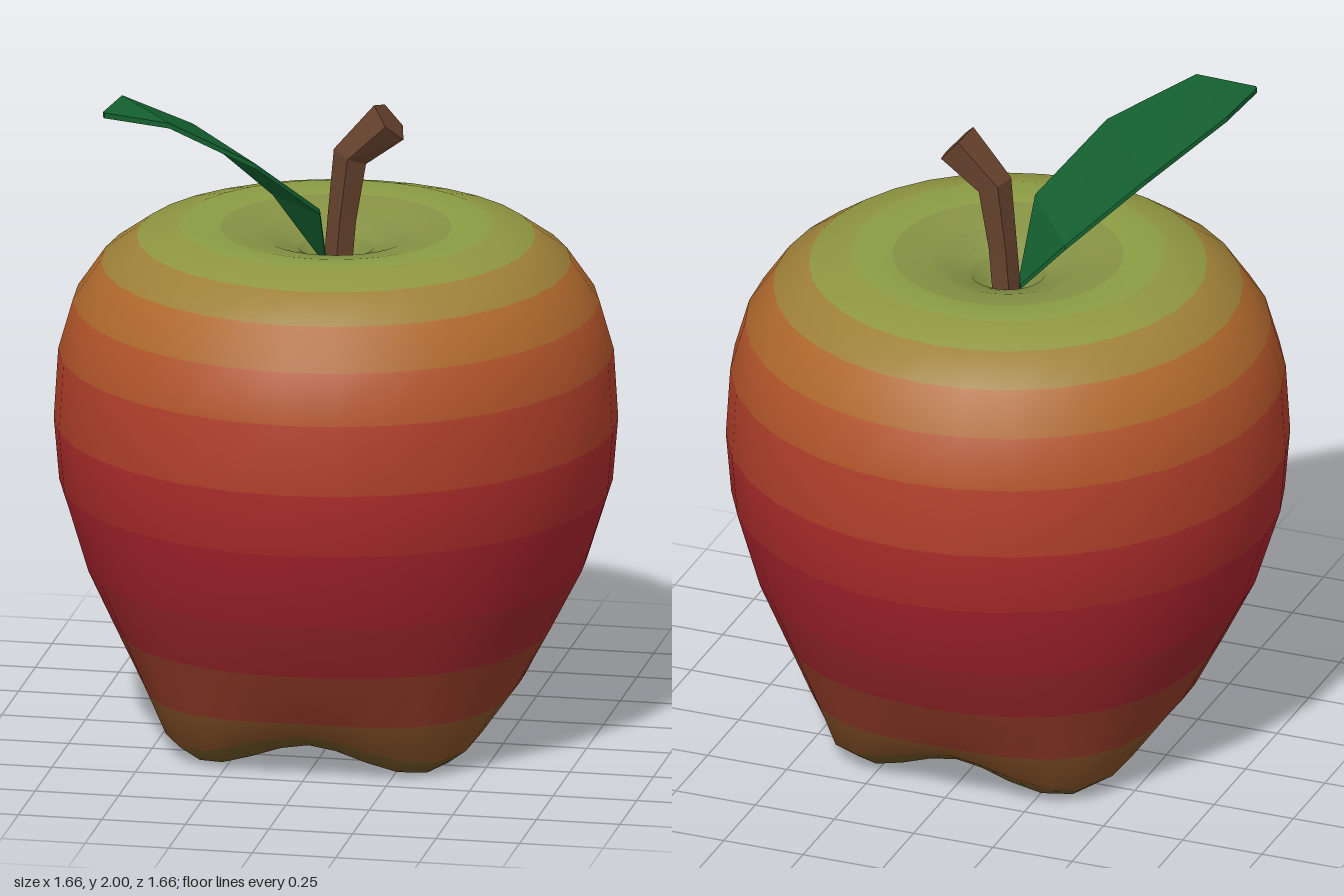
import * as THREE from 'three';

const SIDES = 32;

// Apple profile from the bottom centre to the top centre:
// radius, height, notch inset, notch lift, colour of the band above
const PROFILE = [
  [0, 0.17, 0, 0, 0x6f7a30],
  [0.2, 0.12, 0.02, 0.02, 0x66702c],
  [0.36, 0.03, 0.05, 0.07, 0x65602a],
  [0.48, 0, 0.07, 0.085, 0x6e5426],
  [0.55, 0.05, 0.07, 0.08, 0x845026],
  [0.6, 0.18, 0.05, 0.01, 0x923a28],
  [0.672, 0.36, 0.03, 0, 0x9c262a],
  [0.745, 0.54, 0.01, 0, 0xa5222c],
  [0.812, 0.78, 0, 0, 0xaa2c2a],
  [0.828, 0.97, 0, 0, 0xb03f2a],
  [0.815, 1.18, 0, 0, 0xb2542a],
  [0.772, 1.33, 0, 0, 0xae682c],
  [0.69, 1.45, 0, 0, 0x9e8038],
  [0.585, 1.525, 0, 0, 0x8f9640],
  [0.46, 1.56, 0, 0, 0x8c9c44],
  [0.34, 1.553, 0, 0, 0x869244],
  [0.22, 1.53, 0, 0, 0x849044],
  [0.11, 1.49, 0, 0, 0x7d8a40],
  [0.05, 1.41, 0, 0, 0x74803c],
  [0, 1.39, 0, 0, 0],
];

function material(color, flatShading = false) {
  return new THREE.MeshStandardMaterial({ color, flatShading });
}

// Smooth body with four lobes underneath, coloured in bands
function makeBody() {
  const body = new THREE.Group();
  body.name = 'appleBody';
  const points = [];
  for (const [r, y, inset, lift] of PROFILE) {
    for (let i = 0; i < SIDES; i++) {
      const a = (i / SIDES) * Math.PI * 2;
      const notch = (1 + Math.cos(4 * a)) / 2;
      const radius = r - inset * notch;
      points.push(radius * Math.sin(a), y + lift * notch, radius * Math.cos(a));
    }
  }
  const bands = [];
  for (let j = 0; j < PROFILE.length - 1; j++) {
    const band = [];
    for (let i = 0; i < SIDES; i++) {
      const k = (i + 1) % SIDES;
      const a = j * SIDES + i, b = j * SIDES + k;
      const c = b + SIDES, d = a + SIDES;
      band.push(a, b, c, a, c, d);
    }
    bands.push(band);
  }
  const whole = new THREE.BufferGeometry();
  whole.setAttribute('position', new THREE.Float32BufferAttribute(points, 3));
  whole.setIndex(bands.flat());
  whole.computeVertexNormals();

  // Bands share positions and normals, so the shading runs on across them
  bands.forEach((band, j) => {
    const geometry = new THREE.BufferGeometry();
    geometry.setAttribute('position', whole.attributes.position);
    geometry.setAttribute('normal', whole.attributes.normal);
    geometry.setIndex(band);
    const mesh = new THREE.Mesh(geometry, material(PROFILE[j][4]));
    mesh.name = `skinBand${j + 1}`;
    body.add(mesh);
  });
  return body;
}

// Five-sided stem, bent and widening towards the cut end
function makeStem() {
  // centre x, centre y, radius, tilt towards +x
  const rings = [
    [0.005, 1.4, 0.045, 0],
    [0.02, 1.58, 0.045, 0.1],
    [0.045, 1.775, 0.055, 0.4],
    [0.162, 1.887, 0.07, 0.85],
  ];
  const geometry = new THREE.CylinderGeometry(1, 1, 3, 5, 3);
  const p = geometry.attributes.position;
  for (let i = 0; i < p.count; i++) {
    const [cx, cy, r, tilt] = rings[Math.round(p.getY(i) + 1.5)];
    const u = p.getX(i) * r;
    p.setXYZ(i, cx + u * Math.cos(tilt), cy - u * Math.sin(tilt), p.getZ(i) * r);
  }
  geometry.computeVertexNormals();
  const stem = new THREE.Mesh(geometry, material(0x64412c, true));
  stem.name = 'stem';
  return stem;
}

// Thin leaf rising from the stem and levelling off at the tip
function makeLeaf() {
  // right edge and left edge, row by row from base to tip
  const rows = [
    [[-0.04, 1.46, 0.0], [-0.025, 1.46, 0.02]],
    [[-0.2, 1.64, -0.05], [-0.01, 1.66, 0.19]],
    [[-0.42, 1.855, 0.04], [-0.16, 1.845, 0.385]],
    [[-0.59, 1.993, 0.25], [-0.4, 1.988, 0.49]],
    [[-0.607, 1.999, 0.45], [-0.6, 1.999, 0.46]],
  ];
  const thickness = 0.016;
  const points = [];
  const index = [];
  const quad = (a, b, c, d) => index.push(a, b, c, a, c, d);
  rows.forEach(([r, l], j) => {
    // four corners: top right, top left, bottom left, bottom right
    points.push(...r, ...l, l[0], l[1] - thickness, l[2], r[0], r[1] - thickness, r[2]);
    if (j === 0) return;
    const n = j * 4, o = n - 4;
    for (let k = 0; k < 4; k++) {
      const m = (k + 1) % 4;
      quad(o + k, o + m, n + m, n + k);
    }
  });
  const e = (rows.length - 1) * 4;
  quad(3, 2, 1, 0);
  quad(e, e + 1, e + 2, e + 3);
  const indexed = new THREE.BufferGeometry();
  indexed.setAttribute('position', new THREE.Float32BufferAttribute(points, 3));
  indexed.setIndex(index);
  const geometry = indexed.toNonIndexed();
  geometry.computeVertexNormals();
  const leafMaterial = material(0x14602f, true);
  leafMaterial.side = THREE.DoubleSide;
  const leaf = new THREE.Mesh(geometry, leafMaterial);
  leaf.name = 'leaf';
  return leaf;
}

export function createModel() {
  const apple = new THREE.Group();
  apple.name = 'apple';
  apple.add(makeBody(), makeStem(), makeLeaf());
  return apple;
}
